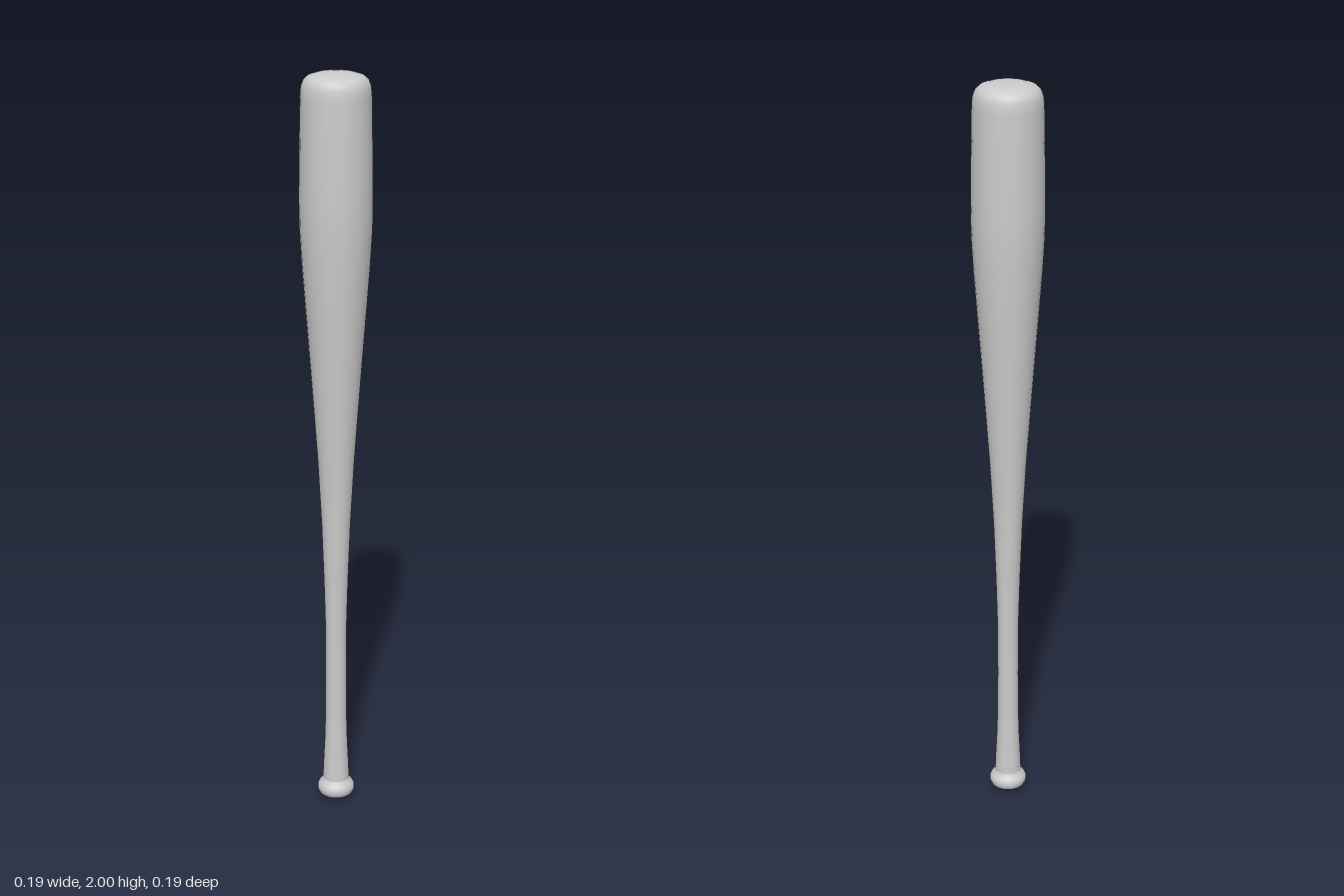
import * as THREE from 'three';

const SIDES = 32;

// Turned part from [radius, height] pairs, listed bottom to top
function turned(name, profile, material) {
  const points = profile.map(([r, y]) => new THREE.Vector2(r, y));
  const mesh = new THREE.Mesh(new THREE.LatheGeometry(points, SIDES), material);
  mesh.name = name;
  return mesh;
}

export function createModel() {
  const bat = new THREE.Group();
  bat.name = 'bat';
  const material = new THREE.MeshStandardMaterial({ color: 0xcccccc });

  // Rounded knob at the foot of the grip
  bat.add(turned('knob', [
    [0, 0], [0.018, 0.002], [0.034, 0.007], [0.045, 0.015], [0.05, 0.025],
    [0.05, 0.036], [0.046, 0.045], [0.038, 0.054], [0.036, 0.06],
  ], material));

  // Flared grip, long taper, barrel and domed end
  bat.add(turned('handleAndBarrel', [
    [0.036, 0.06], [0.034, 0.11], [0.031, 0.17], [0.029, 0.24],
    [0.028, 0.36], [0.028, 0.5], [0.032, 0.65], [0.038, 0.81],
    [0.048, 0.99], [0.063, 1.2], [0.078, 1.4], [0.087, 1.52],
    [0.092, 1.61], [0.093, 1.68], [0.092, 1.77], [0.089, 1.94],
    [0.087, 1.965], [0.081, 1.98], [0.07, 1.99], [0.05, 1.996],
    [0.025, 1.999], [0, 2],
  ], material));

  return bat;
}
